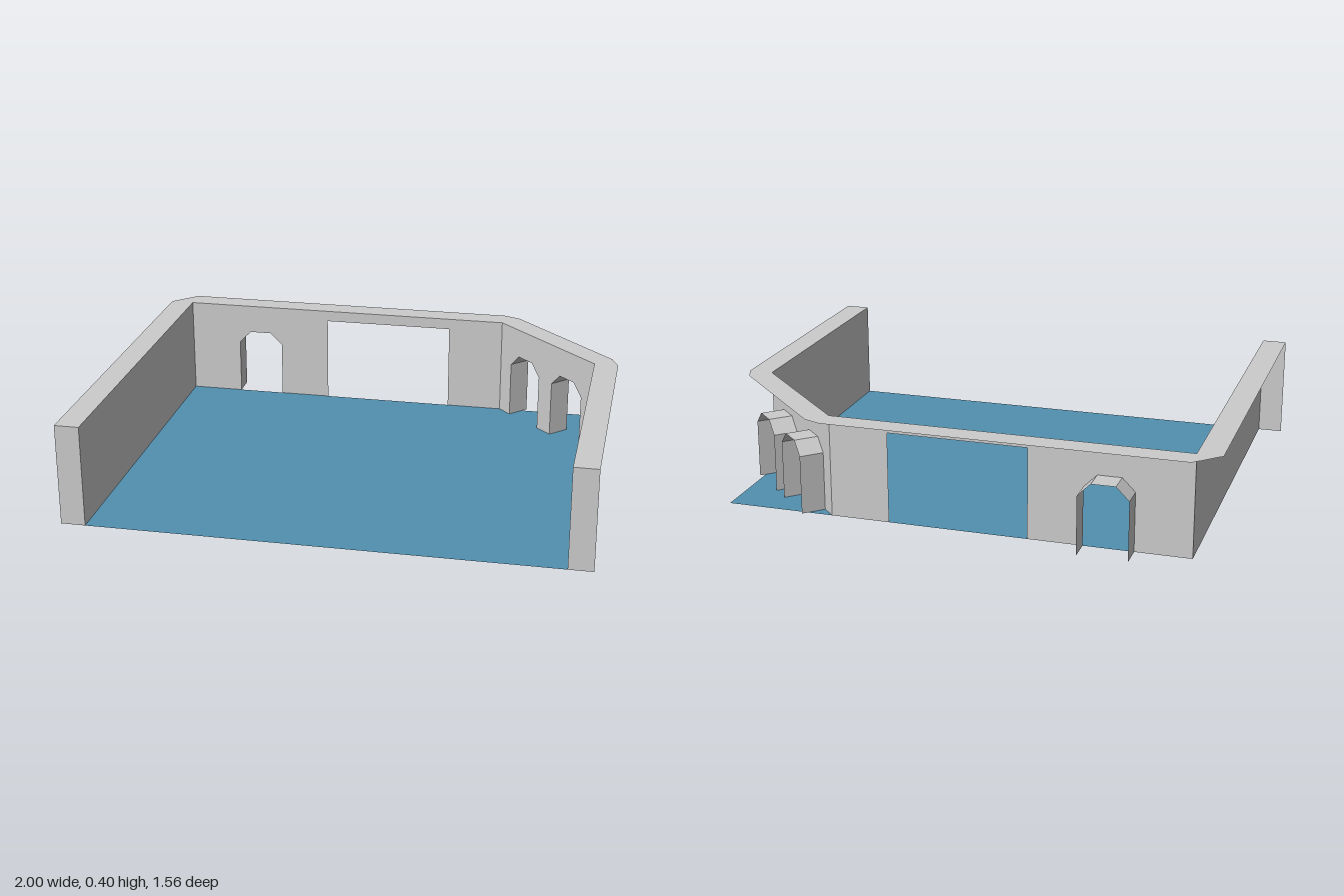
import * as THREE from 'three';

const HEIGHT = 0.4, DEPTH = 0.095, FRONT = 0.777;
const grey = new THREE.MeshStandardMaterial({ color: 0xcccccc, flatShading: true, side: THREE.DoubleSide });
const blue = new THREE.MeshStandardMaterial({ color: 0x5190b0, flatShading: true, side: THREE.DoubleSide });

function mesh(name, geometry, material = grey) {
  const m = new THREE.Mesh(geometry, material);
  m.name = name;
  return m;
}

// Arched doorway outline: up the left jamb, over the clipped top, down the right
const arch = (a, b) => [[a, 0], [a, 0.23], [a + 0.05, 0.28], [b - 0.05, 0.28], [b, 0.23], [b, 0]];

// Strip of quads lining an opening, running back from the wall face
function revealGeometry(points) {
  const pos = [];
  for (let i = 0; i < points.length - 1; i++) {
    const [x0, y0] = points[i], [x1, y1] = points[i + 1];
    pos.push(x0, y0, 0, x0, y0, -DEPTH, x1, y1, 0);
    pos.push(x1, y1, 0, x0, y0, -DEPTH, x1, y1, -DEPTH);
  }
  const g = new THREE.BufferGeometry();
  g.setAttribute('position', new THREE.Float32BufferAttribute(pos, 3));
  g.computeVertexNormals();
  return g;
}

// Wall face between two plan points (x, z), notched from below by openings
function wall(name, [ax, az], [bx, bz], openings = []) {
  const group = new THREE.Group();
  group.name = name;
  const length = Math.hypot(bx - ax, bz - az);
  const outline = [[0, HEIGHT], [0, 0]];
  openings.forEach(o => outline.push(...o.points));
  outline.push([length, 0], [length, HEIGHT]);
  const shape = new THREE.Shape(outline.map(p => new THREE.Vector2(...p)));
  group.add(mesh(name + 'Face', new THREE.ShapeGeometry(shape)));
  openings.filter(o => o.lined).forEach(o => group.add(mesh('archReveal', revealGeometry(o.points))));
  group.position.set(ax, 0, az);
  group.rotation.y = Math.atan2(az - bz, bx - ax);
  return group;
}

// Horizontal polygon from plan points (x, z), facing up
function slab(name, points, y, material) {
  const g = new THREE.ShapeGeometry(new THREE.Shape(points.map(([x, z]) => new THREE.Vector2(x, -z))));
  g.rotateX(-Math.PI / 2);
  g.translate(0, y, 0);
  return mesh(name, g, material);
}

export function createModel() {
  const model = new THREE.Group();
  model.name = 'room';

  // Plan of the inner wall faces, with one corner cut at 45 degrees
  const X = 0.905, BACK = -0.685;
  const inner = [[-X, FRONT], [-X, BACK], [0.48, BACK], [X, -0.26], [X, FRONT]];

  // Walls and their openings
  const square = [[0.615, 0], [0.615, 0.355], [1.155, 0.355], [1.155, 0]];
  model.add(
    wall('sideWallRight', inner[0], inner[1]),
    wall('backWall', inner[1], inner[2], [
      { points: arch(0.214, 0.405), lined: true },
      { points: square, lined: false },
    ]),
    wall('cornerWall', inner[2], inner[3], [
      { points: arch(0.07, 0.258), lined: true },
      { points: arch(0.342, 0.53), lined: true },
    ]),
    wall('sideWallLeft', inner[3], inner[4])
  );

  // Wall top: each stretch offset outward, with bevelled corners between
  const outer = [];
  for (let i = 0; i < inner.length - 1; i++) {
    const [ax, az] = inner[i], [bx, bz] = inner[i + 1];
    const len = Math.hypot(bx - ax, bz - az);
    const nx = (bz - az) / len * DEPTH, nz = -(bx - ax) / len * DEPTH;
    outer.push([ax + nx, az + nz], [bx + nx, bz + nz]);
  }
  model.add(slab('wallTop', [...inner, ...outer.reverse()], HEIGHT, grey));

  // Front ends of the two side walls
  for (const s of [-1, 1]) {
    const end = mesh('wallEnd', new THREE.PlaneGeometry(DEPTH, HEIGHT));
    end.position.set(s * (X + DEPTH / 2), HEIGHT / 2, FRONT);
    model.add(end);
  }

  // Rectangular floor, running on past the cut corner
  model.add(slab('floor', [[-X, FRONT], [X, FRONT], [X, BACK], [-X, BACK]], 0, blue));
  return model;
}
